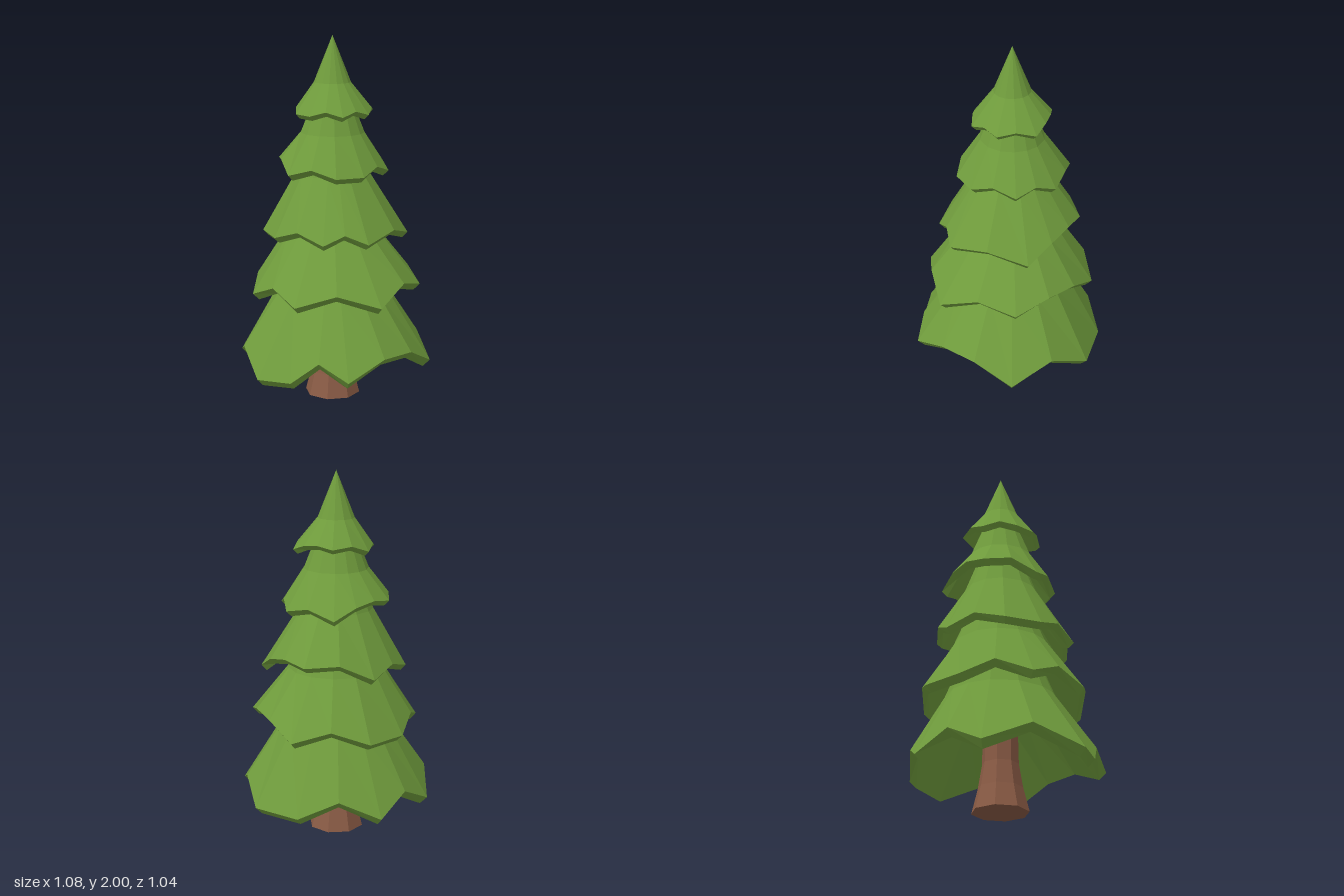
import * as THREE from 'three';

const CX = -0.015, CZ = -0.02; // trunk axis

// Each tier: drooping branch tips [x, z, extra height], their height y, the rise of
// the notches between them, then radius and height of the shoulder and of the top
const TIERS = [
  { name: 'bottomBranches', y: 0.215, rise: 0.1, lip: 0.04, mid: [0.3, 0.62], top: [0.18, 0.92],
    tips: [[-.54, -.02], [-.38, -.39], [.045, -.52], [.31, -.44], [.535, -.02], [.17, .515, .03], [-.145, .49], [-.33, .465]] },
  { name: 'lowerBranches', y: 0.615, rise: 0.07, lip: 0.035, mid: [0.26, 0.93], top: [0.14, 1.22],
    tips: [[-.43, -.16], [-.31, -.36], [.095, -.465], [.47, -.04, .03], [.32, .37], [-.13, .445], [-.41, .22]] },
  { name: 'middleBranches', y: 0.94, rise: 0.05, lip: 0.03, mid: [0.2, 1.26], top: [0.11, 1.5],
    tips: [[-.385, .07], [-.3, -.26], [.045, -.39, .07], [.39, -.105, -.02], [.24, .31], [.01, .38], [-.28, .245]] },
  { name: 'upperBranches', y: 1.275, rise: 0.04, lip: 0.03, mid: [0.175, 1.48], top: [0.08, 1.72],
    tips: [[-.32, -.055, .05], [-.1, -.335, -.015], [.19, -.25], [.29, -.04], [.195, .195], [.06, .275], [-.21, .215]] },
  { name: 'topBranches', y: 1.588, rise: 0.025, lip: 0.025, mid: [0.1, 1.75], top: [0, 2],
    tips: [[-.215, -.085], [-.06, -.23, .025], [.185, -.145], [.195, .06], [.08, .19], [-.1, .18], [-.19, .105]] },
];

// Hem of a tier in polar form: the tips, with raised notches in the wider gaps
function hemPoints({ tips, y, rise }) {
  const polar = tips.map(([x, z, lift = 0]) => ({
    a: Math.atan2(x - CX, z - CZ), r: Math.hypot(x - CX, z - CZ), y: y + lift,
  })).sort((p, q) => p.a - q.a);
  return polar.flatMap((p, i) => {
    const q = polar[(i + 1) % polar.length];
    const gap = (q.a - p.a + 2 * Math.PI) % (2 * Math.PI);
    const degrees = THREE.MathUtils.radToDeg(gap);
    const notches = degrees > 66 ? 2 : degrees > 32 ? 1 : 0;
    const points = [p];
    for (let k = 1; k <= notches; k++) {
      const t = k / (notches + 1);
      points.push({
        a: p.a + gap * t,
        r: THREE.MathUtils.lerp(p.r, q.r, t) * 0.925,
        y: THREE.MathUtils.lerp(p.y, q.y, t) + rise,
      });
    }
    return points;
  });
}

// Skirt: outer slope, bevelled lip and hollow inside, joined ring by ring
function skirt(tier) {
  const { mid, top, lip } = tier;
  const pts = hemPoints(tier);
  const at = (p, r, y) => [Math.sin(p.a) * r, y, Math.cos(p.a) * r];
  const rings = [
    p => at(p, 0, top[1] - 0.06),             // inner peak
    p => at(p, mid[0] * 0.85, mid[1] - 0.04), // inner shoulder
    p => at(p, p.r - lip, p.y - lip),         // inner hem
    p => at(p, p.r, p.y),                     // outer hem
    p => at(p, mid[0], mid[1]),               // outer shoulder
    p => at(p, top[0], top[1]),               // outer top
  ];
  const n = pts.length, pos = [], index = [];
  rings.forEach(f => pts.forEach(p => pos.push(...f(p))));
  for (let k = 0; k < rings.length - 1; k++) {
    for (let i = 0; i < n; i++) {
      const j = (i + 1) % n;
      const a = k * n + i, b = k * n + j, c = b + n, d = a + n;
      if (k > 0) index.push(a, b, d);
      if (k < rings.length - 2 || top[0] > 0) index.push(b, c, d);
    }
  }
  const g = new THREE.BufferGeometry();
  g.setAttribute('position', new THREE.Float32BufferAttribute(pos, 3));
  g.setIndex(index);
  const flat = g.toNonIndexed();
  flat.computeVertexNormals();
  return flat;
}

export function createModel() {
  const tree = new THREE.Group();
  tree.name = 'pineTree';
  const needles = new THREE.MeshStandardMaterial({ name: 'needleGreen', color: 0x6f9b3c, flatShading: true });
  const bark = new THREE.MeshStandardMaterial({ name: 'barkBrown', color: 0x8a5b45, flatShading: true });

  // Flared eight-sided trunk
  const profile = [[0, 0], [0.153, 0], [0.12, 0.13], [0.098, 0.26], [0.085, 0.85]];
  const trunk = new THREE.Mesh(
    new THREE.LatheGeometry(profile.map(([r, y]) => new THREE.Vector2(r, y)), 8), bark);
  trunk.name = 'trunk';
  trunk.position.set(CX, 0, CZ);
  tree.add(trunk);

  // Five tiers of branches
  for (const tier of TIERS) {
    const mesh = new THREE.Mesh(skirt(tier), needles);
    mesh.name = tier.name;
    mesh.position.set(CX, 0, CZ);
    tree.add(mesh);
  }
  return tree;
}
